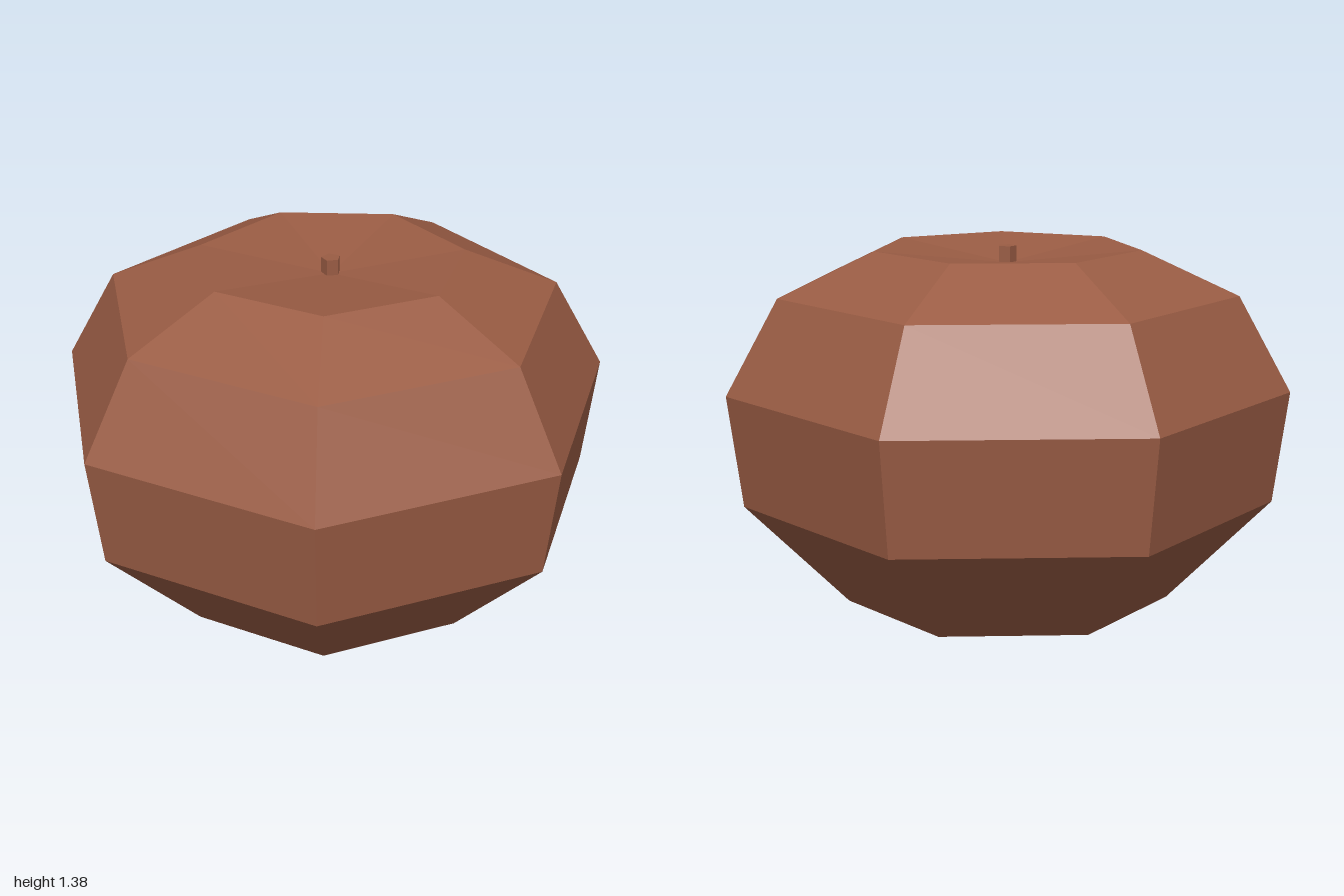
import * as THREE from 'three';

export function createModel() {
  const model = new THREE.Group();
  model.name = 'fruit';

  const brown = new THREE.MeshStandardMaterial({ color: 0x9a5c44, flatShading: true });
  brown.name = 'reddish brown';

  // Seven-sided body, closed at the base and dipping in at the crown
  const profile = [
    [0, 0], [0.6, 0.09], [0.974, 0.475], [1.026, 0.88],
    [0.836, 1.22], [0.487, 1.375], [0, 1.32],
  ].map(([r, y]) => new THREE.Vector2(r, y));
  const body = new THREE.Mesh(new THREE.LatheGeometry(profile, 7, Math.PI / 2), brown);
  body.name = 'body';
  body.position.x = -0.051;
  model.add(body);

  // Short five-sided stem rising from the dip
  const stemGeometry = new THREE.CylinderGeometry(0.035, 0.035, 0.08, 5, 1, false, Math.PI / 2);
  const stem = new THREE.Mesh(stemGeometry, brown);
  stem.name = 'stem';
  stem.position.set(-0.051, 1.341, 0);
  model.add(stem);

  return model;
}
